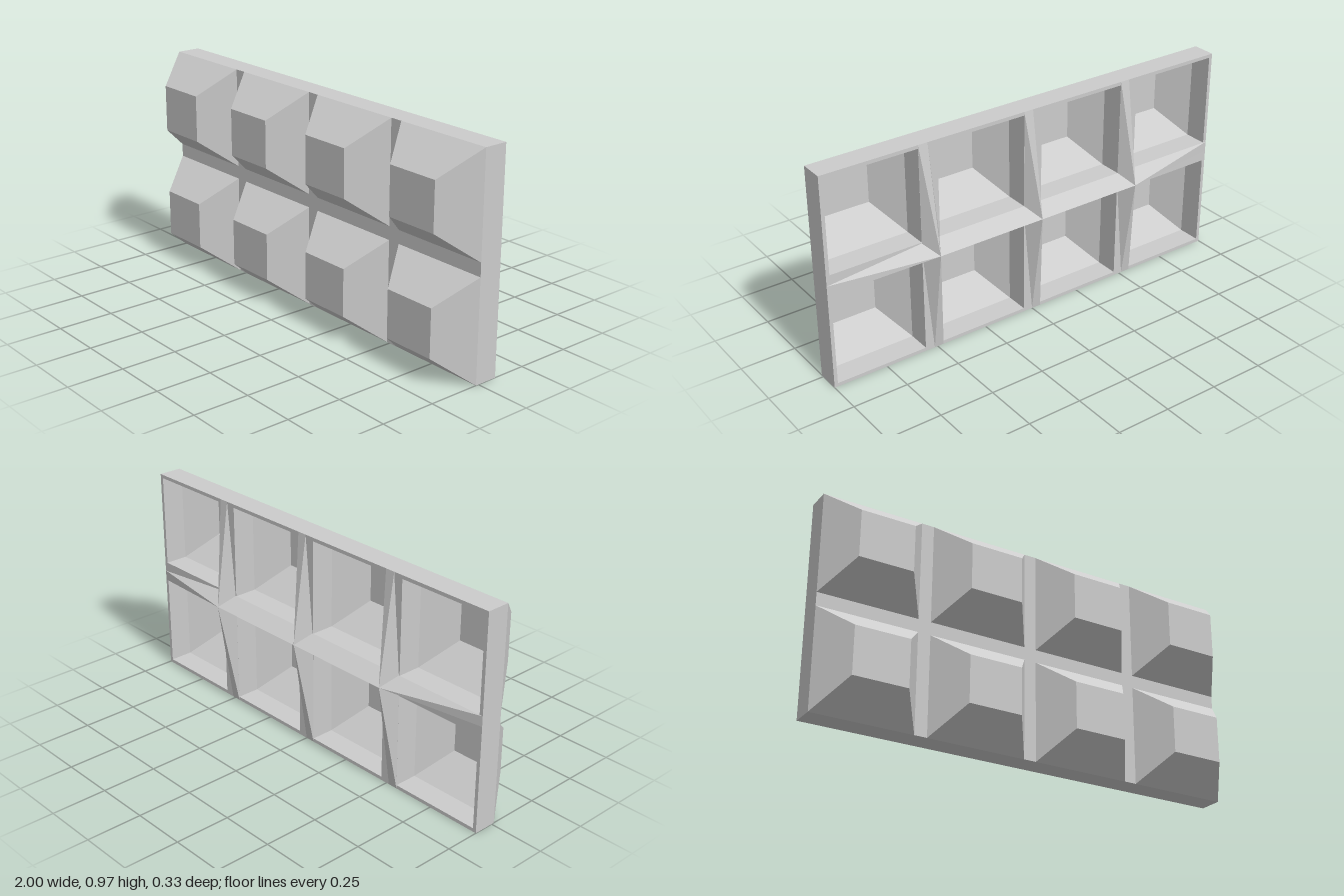
import * as THREE from 'three';

const W = 2, H = 0.972;                          // panel size
const BACK = -0.094, FACE = 0.013, TOP = 0.166;  // depths of rim, face and coffer tops
const PEAK = 0.072, WALL = 0.016;                // rib height, shell thickness
const CW = 0.457, CH = 0.456;                    // one coffer
const STEP_X = (W - CW) / 3, STEP_Y = H - CH;

const material = new THREE.MeshStandardMaterial({ color: 0xcccccc, flatShading: true });

function flat(positions) {
  const g = new THREE.BufferGeometry();
  g.setAttribute('position', new THREE.Float32BufferAttribute(positions.flat(), 3));
  g.computeVertexNormals();
  return g;
}

function quad(out, a, b, c, d) {
  out.push(a, b, c, a, c, d);
}

// Rectangle corners, counter-clockwise seen from the front
function ring(w, h, z) {
  return [[-w / 2, -h / 2, z], [w / 2, -h / 2, z], [w / 2, h / 2, z], [-w / 2, h / 2, z]];
}

// Hollow truncated pyramid, open at the back
function cofferGeometry() {
  const rings = [
    ring(0.233, 0.201, TOP - WALL),
    ring(CW - 2 * WALL, CH - 2 * WALL, FACE),
    ring(CW, CH, FACE),
    ring(0.245, 0.213, TOP),
  ];
  const out = [];
  for (let i = 0; i < 3; i++) {
    for (let j = 0; j < 4; j++) {
      const k = (j + 1) % 4;
      quad(out, rings[i][j], rings[i][k], rings[i + 1][k], rings[i + 1][j]);
    }
  }
  quad(out, ...rings[3]);
  quad(out, ...[...rings[0]].reverse());
  return flat(out);
}

// Triangular rib along x; stations are [x, height], peaks point backwards
function ribGeometry(stations, half) {
  const out = [];
  for (let i = 0; i < stations.length - 1; i++) {
    const [[x0, h0], [x1, h1]] = [stations[i], stations[i + 1]];
    const p0 = [x0, 0, BACK - h0], p1 = [x1, 0, BACK - h1];
    quad(out, [x0, half, BACK], [x1, half, BACK], p1, p0);
    quad(out, p0, p1, [x1, -half, BACK], [x0, -half, BACK]);
  }
  return flat(out);
}

export function createModel() {
  const group = new THREE.Group();
  const add = (name, geometry, x = 0, y = 0) => {
    const mesh = new THREE.Mesh(geometry, material);
    mesh.name = name;
    mesh.position.set(x, y, 0);
    group.add(mesh);
    return mesh;
  };

  // Frame with one opening per coffer
  const shape = new THREE.Shape();
  shape.moveTo(-W / 2, 0).lineTo(W / 2, 0).lineTo(W / 2, H).lineTo(-W / 2, H).closePath();
  const coffer = cofferGeometry();
  for (let row = 0; row < 2; row++) {
    for (let col = 0; col < 4; col++) {
      const x = (col - 1.5) * STEP_X, y = CH / 2 + row * STEP_Y;
      const hole = ring(CW - 2 * WALL, CH - 2 * WALL, 0).map(p => new THREE.Vector2(p[0] + x, p[1] + y));
      shape.holes.push(new THREE.Path(hole.reverse()).closePath());
      add('coffer', coffer, x, y);
    }
  }
  const frame = new THREE.ExtrudeGeometry(shape, { depth: FACE - BACK, bevelEnabled: false });
  frame.translate(0, 0, BACK);
  add('frame', frame);

  // Tapering stiffening ribs on the back
  add('horizontalRib', ribGeometry([[-W / 2, 0], [-STEP_X, PEAK], [STEP_X, PEAK], [W / 2, 0]], 0.046), 0, H / 2);
  const upright = ribGeometry([[-H / 2, 0], [0, PEAK], [H / 2, 0]], 0.0445);
  for (let i = -1; i <= 1; i++) {
    add('verticalRib', upright, i * STEP_X, H / 2).rotation.z = Math.PI / 2;
  }
  return group;
}
